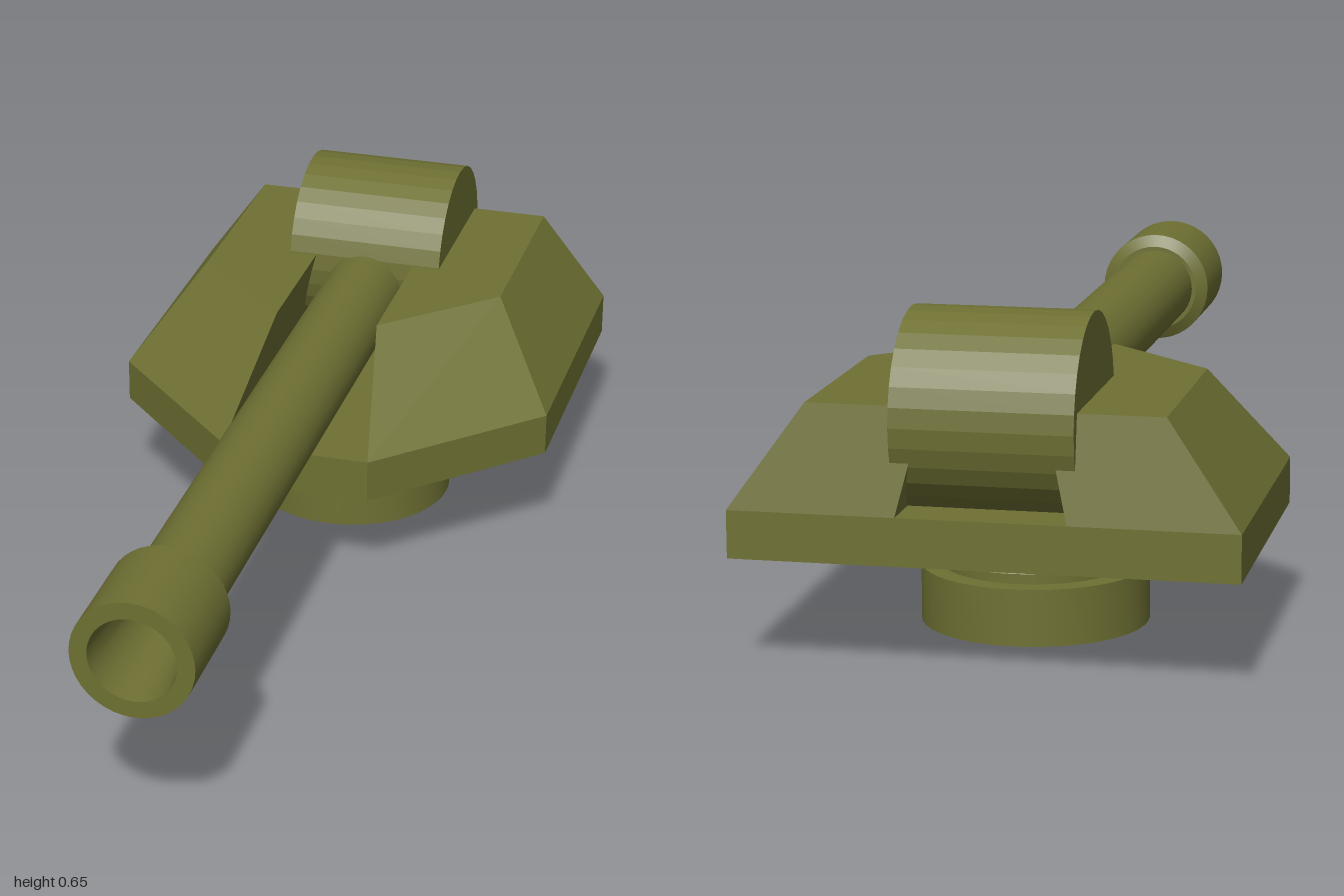
import * as THREE from 'three';
import { mergeVertices, toCreasedNormals } from 'three/addons/utils/BufferGeometryUtils.js';

const olive = new THREE.MeshStandardMaterial({ color: 0x6e7033 });

function part(name, geometry) {
  const mesh = new THREE.Mesh(geometry, olive);
  mesh.name = name;
  return mesh;
}

// Closed solid between two [x, z] outlines, listed counter-clockwise from above
function loft(lower, y0, upper, y1) {
  const pos = [];
  const n = lower.length;
  const lo = lower.map(([x, z]) => [x, y0, z]);
  const hi = upper.map(([x, z]) => [x, y1, z]);
  const tri = (a, b, c) => pos.push(...a, ...b, ...c);
  for (let i = 0; i < n; i++) {
    const j = (i + 1) % n;
    tri(lo[i], lo[j], hi[j]);
    tri(lo[i], hi[j], hi[i]);
    if (i > 0 && i < n - 1) {
      tri(hi[0], hi[i], hi[j]);
      tri(lo[0], lo[j], lo[i]);
    }
  }
  const geo = new THREE.BufferGeometry();
  geo.setAttribute('position', new THREE.Float32BufferAttribute(pos, 3));
  geo.computeVertexNormals();
  return geo;
}

// Revolved profile of [radius, height] pairs with crisp rims
function turned(profile, segments) {
  const geo = new THREE.LatheGeometry(profile.map(([r, y]) => new THREE.Vector2(r, y)), segments);
  geo.deleteAttribute('uv');
  geo.deleteAttribute('normal');
  return toCreasedNormals(mergeVertices(geo, 1e-5), 0.45);
}

const mirror = (outline) => outline.map(([x, z]) => [-x, z]).reverse();

export function createModel() {
  const model = new THREE.Group();
  model.name = 'gunTurret';

  // Pedestal: turned disc, neck and flared collar
  const pedestal = part('pedestal', turned([
    [0, 0], [0.22, 0], [0.22, 0.11], [0.18, 0.11],
    [0.18, 0.14], [0.22, 0.14], [0.163, 0.215], [0, 0.215],
  ], 48));
  pedestal.position.z = -0.53;
  model.add(pedestal);

  // Hull plate with a pointed, cut-off nose
  const plate = [[-0.157, -0.063], [0.157, -0.063], [0.47, -0.375], [0.47, -1], [-0.47, -1], [-0.47, -0.375]];
  model.add(part('hullPlate', loft(plate, 0.21, plate, 0.3)));

  // Sloped armour on both sides of the gun slot
  const foot = [[0.157, -0.063], [0.47, -0.375], [0.47, -1], [0.157, -1]];
  const crown = [[0.11, -0.308], [0.33, -0.52], [0.33, -0.965], [0.11, -0.965]];
  model.add(part('leftArmour', loft(foot, 0.3, crown, 0.497)));
  model.add(part('rightArmour', loft(mirror(foot), 0.3, mirror(crown), 0.497)));

  // Horizontal drum that carries the barrel
  const drum = part('gunDrum', toCreasedNormals(
    new THREE.CylinderGeometry(0.19, 0.19, 0.338, 32).rotateZ(Math.PI / 2), 0.1));
  drum.position.set(0, 0.462, -0.805);
  model.add(drum);

  // Hollow barrel, muzzle collar and tapered bore
  const barrel = part('barrel', turned([
    [0.063, -0.7], [0.086, -0.7], [0.086, 0.77], [0.095, 0.77], [0.12, 0.785],
    [0.12, 1], [0.086, 1], [0.063, 0.77], [0.063, -0.7],
  ], 40).rotateX(Math.PI / 2));
  barrel.position.y = 0.42;
  model.add(barrel);

  return model;
}
